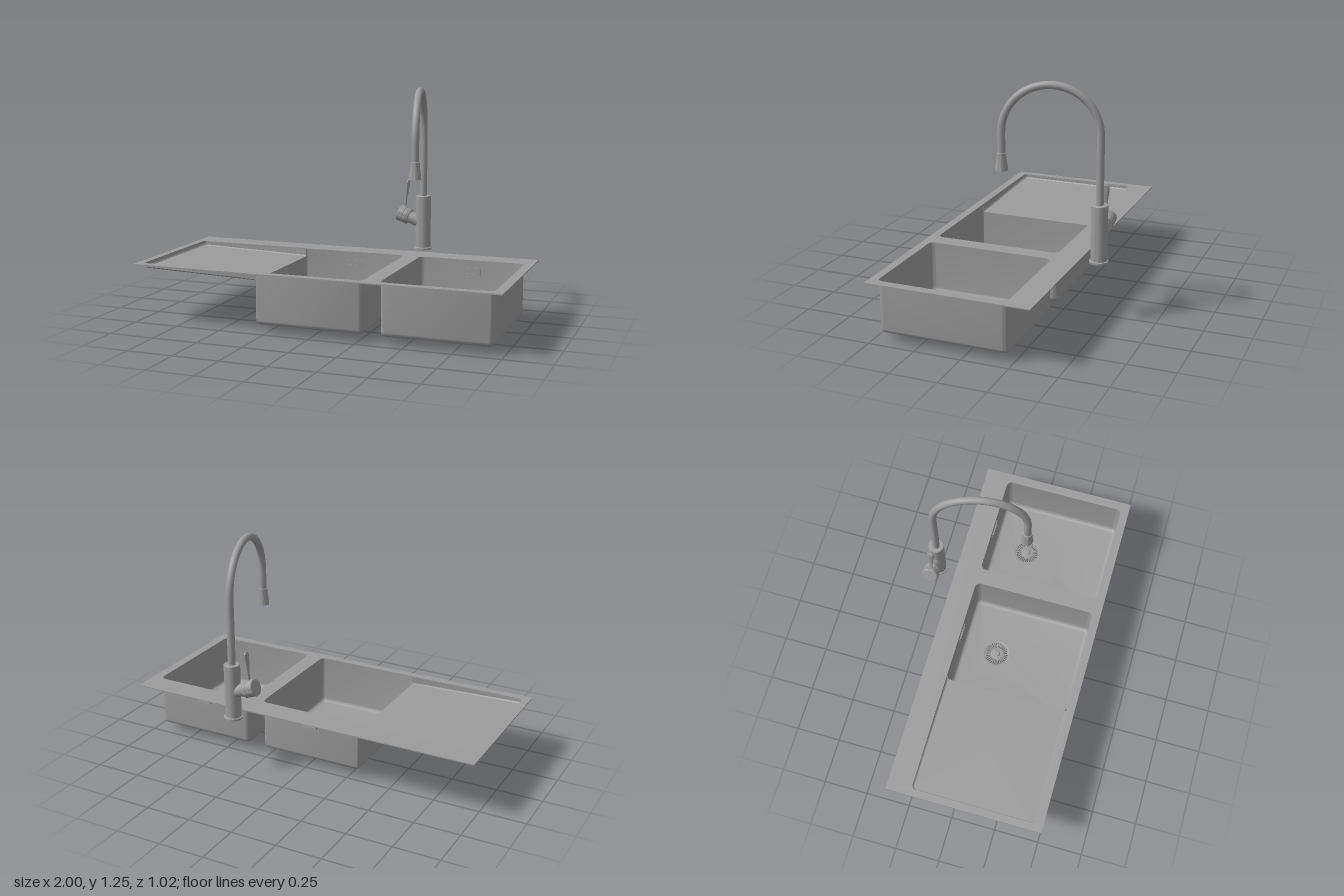
import * as THREE from 'three';
import { toCreasedNormals } from 'three/addons/utils/BufferGeometryUtils.js';

const steel = new THREE.MeshStandardMaterial({ color: 0x9c9c9c, side: THREE.DoubleSide });
steel.name = 'brushed grey steel';

const TOP = 0.32, BACK = -0.225, FRONT = 0.465, DRAIN_Z = -0.02;
const N = 6; // segments per rounded corner

function add(parent, name, geometry, x = 0, y = 0, z = 0) {
  const mesh = new THREE.Mesh(geometry, steel);
  mesh.name = name;
  mesh.position.set(x, y, z);
  parent.add(mesh);
  return mesh;
}

// Rounded rectangle in x/z, with separate corner radii for the left (-x) and right (+x) ends
function roundRect(x0, x1, z0, z1, rl, rr) {
  const pts = [];
  for (let c = 0; c < 4; c++) {
    const left = c === 1 || c === 2, back = c > 1;
    const r = left ? rl : rr;
    const cx = left ? x0 + r : x1 - r, cz = back ? z0 + r : z1 - r;
    for (let j = 0; j <= N; j++) {
      const a = (c + j / N) * Math.PI / 2;
      pts.push([cx + r * Math.cos(a), cz + r * Math.sin(a)]);
    }
  }
  return pts;
}

// Circle with the same point order as roundRect
const circle = (cx, cz, r) => roundRect(cx - r, cx + r, cz - r, cz + r, r, r);

// Skin over a stack of closed rings of [x, y, z]
function loft(rings) {
  const n = rings[0].length, index = [];
  for (let i = 0; i < rings.length - 1; i++) {
    for (let j = 0; j < n; j++) {
      const a = i * n + j, b = i * n + (j + 1) % n;
      index.push(a, b, a + n, b, b + n, a + n);
    }
  }
  const g = new THREE.BufferGeometry();
  g.setAttribute('position', new THREE.Float32BufferAttribute(rings.flat(2), 3));
  g.setIndex(index);
  return toCreasedNormals(g, 0.6);
}

const lathe = (pts, seg = 40) =>
  toCreasedNormals(new THREE.LatheGeometry(pts.map(p => new THREE.Vector2(...p)), seg), 0.6);

// Deep bowl with filleted floor and drain hole; the left wall may stop lower
function bowlGeometry(x0, x1, rl, leftTop) {
  const y0 = 0.04, f = 0.025, r = 0.03, rings = [];
  rings.push(roundRect(x0, x1, BACK, FRONT, rl, r)
    .map(([x, z]) => [x, x < x0 + 0.0001 ? leftTop : TOP - 0.002, z]));
  for (let k = 0; k <= 5; k++) {
    const a = k / 5 * Math.PI / 2, i = f * (1 - Math.cos(a)), y = y0 + f - f * Math.sin(a);
    rings.push(roundRect(x0 + i, x1 - i, BACK + i, FRONT - i, Math.max(rl - i, 0.004), Math.max(r - i, 0.008))
      .map(([x, z]) => [x, y, z]));
  }
  rings.push(circle((x0 + x1) / 2, DRAIN_Z, 0.074).map(([x, z]) => [x, y0, z]));
  return loft(rings);
}

// Shallow sloping tray, open towards the middle bowl
function drainerGeometry(x0, x1) {
  const floor = x => 0.295 - 0.02 * (x - x0) / (x1 - x0);
  const edge = i => roundRect(x0 + i, x1, BACK + i, FRONT - i, 0.02, 0.002);
  const mx = (x0 + x1) / 2, mz = (BACK + FRONT) / 2;
  return loft([
    edge(0).map(([x, z]) => [x, x > x1 - 0.0001 ? floor(x) : TOP - 0.002, z]),
    edge(0).map(([x, z]) => [x, floor(x) + (x > x1 - 0.0001 ? 0 : 0.006), z]),
    edge(0.006).map(([x, z]) => [x, floor(x), z]),
    edge(0).map(() => [mx, floor(mx), mz]),
  ]);
}

function makeDrain(x) {
  const g = new THREE.Group();
  g.name = 'drain';
  g.position.set(x, 0, DRAIN_Z);
  add(g, 'drainFlange', lathe([[0.066, 0.034], [0.1, 0.034], [0.1, 0.039], [0.066, 0.039], [0.066, 0.034]]));
  add(g, 'drainBody', lathe([[0.066, 0.018], [0.071, 0.018], [0.071, 0.036], [0.076, 0.043], [0.066, 0.041], [0.066, 0.018]]));
  add(g, 'drainBottomRing', lathe([[0.062, 0], [0.069, 0], [0.069, 0.006], [0.062, 0.006], [0.062, 0]]));
  add(g, 'drainHub', lathe([[0, 0.006], [0.028, 0.006], [0.028, 0.03], [0.036, 0.036], [0.036, 0.04], [0.018, 0.042], [0.014, 0.048], [0, 0.049]]));
  const count = 32;
  for (let i = 0; i < count; i++) {
    const a = i / count * Math.PI * 2;
    // Radial strainer spokes
    const spoke = add(g, 'strainerSpoke', new THREE.BoxGeometry(0.036, 0.004, 0.005),
      0.051 * Math.cos(a), 0.038, 0.051 * Math.sin(a));
    spoke.rotation.y = -a;
    // Grip teeth on the lock nut
    const tooth = add(g, 'nutTooth', new THREE.BoxGeometry(0.006, 0.02, 0.008),
      0.067 * Math.cos(a), 0.011, 0.067 * Math.sin(a));
    tooth.rotation.y = -a;
  }
  return g;
}

function makeOverflow(x) {
  const g = new THREE.Group();
  g.name = 'overflow';
  g.position.set(x, 0.255, BACK);
  const rect = (C, w, h) => new C([[-w, -h], [w, -h], [w, h], [-w, h]].map(p => new THREE.Vector2(...p)));
  const frame = rect(THREE.Shape, 0.05, 0.02);
  frame.holes.push(rect(THREE.Path, 0.04, 0.011));
  add(g, 'overflowHousing', new THREE.ExtrudeGeometry(frame, { depth: 0.017, bevelEnabled: false }), 0, 0, -0.017);
  add(g, 'overflowCover', new THREE.ExtrudeGeometry(frame, { depth: 0.004, bevelEnabled: false }));
  return g;
}

function makeFaucet() {
  const g = new THREE.Group();
  g.name = 'faucet';
  g.position.set(0.315, 0, -0.46);
  add(g, 'faucetBody', lathe([[0.03, 0.318], [0.05, 0.318], [0.05, 0.328], [0.043, 0.331],
    [0.043, 0.622], [0.04, 0.625], [0.018, 0.625]]));

  // Gooseneck, swung slightly to the side
  const path = [[0, 0.6], [0, 0.73], [0, 0.86]];
  for (let i = 0; i <= 16; i++) {
    const a = i / 16 * Math.PI;
    path.push([0.5 - 0.5 * Math.cos(a), 0.98 + 0.247 * Math.sin(a)]);
  }
  path.push([1, 0.92], [1, 0.86]);
  const curve = new THREE.CatmullRomCurve3(path.map(([t, y]) => new THREE.Vector3(0.1 * t, y, 0.49 * t)));
  add(g, 'gooseneck', new THREE.TubeGeometry(curve, 80, 0.02, 20));
  add(g, 'sprayHead', lathe([[0, 0.8], [0.026, 0.8], [0.028, 0.78], [0.033, 0.78], [0.031, 0.8],
    [0.024, 0.855], [0.024, 0.87], [0.019, 0.873]], 28), 0.1, 0, 0.49);

  // Side valve, with its axis pointing out and up
  const valve = new THREE.Group();
  valve.name = 'valve';
  valve.position.set(0, 0.468, 0);
  valve.rotation.z = 1.21;
  add(valve, 'valveNeck', new THREE.CylinderGeometry(0.034, 0.034, 0.1, 28), 0, 0.05, 0);
  add(valve, 'valveKnob', lathe([[0, 0.085], [0.044, 0.085], [0.046, 0.088], [0.046, 0.112], [0.044, 0.114],
    [0.044, 0.118], [0.046, 0.12], [0.046, 0.15], [0.042, 0.154], [0, 0.154]], 32));
  g.add(valve);

  // Flattened lever, wider near the tip
  const lever = add(g, 'lever', lathe([[0, 0], [0.009, 0], [0.009, 0.05], [0.014, 0.09],
    [0.021, 0.13], [0.02, 0.152], [0.012, 0.162], [0, 0.164]], 20), -0.105, 0.548, 0);
  lever.scale.x = 0.4;
  lever.rotation.z = -0.1;
  return g;
}

export function createModel() {
  const model = new THREE.Group();
  model.name = 'kitchenSink';

  // Flat deck with openings for the two basins
  const toVec = ([x, z]) => new THREE.Vector2(x, -z);
  const deck = new THREE.Shape(roundRect(-1, 1, -0.36, 0.51, 0.003, 0.003).map(toVec));
  deck.holes.push(new THREE.Path(roundRect(-0.96, 0.28, BACK, FRONT, 0.02, 0.03).map(toVec)));
  deck.holes.push(new THREE.Path(roundRect(0.37, 0.95, BACK, FRONT, 0.03, 0.03).map(toVec)));
  const deckGeo = new THREE.ExtrudeGeometry(deck, { depth: 0.006, bevelEnabled: false });
  deckGeo.rotateX(-Math.PI / 2);
  add(model, 'deck', deckGeo, 0, TOP - 0.006, 0);

  add(model, 'drainer', drainerGeometry(-0.96, -0.305));
  add(model, 'middleBowl', bowlGeometry(-0.305, 0.28, 0.008, 0.275));
  add(model, 'leftBowl', bowlGeometry(0.37, 0.95, 0.03, TOP - 0.002));
  for (const x of [-0.0125, 0.66]) model.add(makeDrain(x), makeOverflow(x));
  model.add(makeFaucet());
  return model;
}
